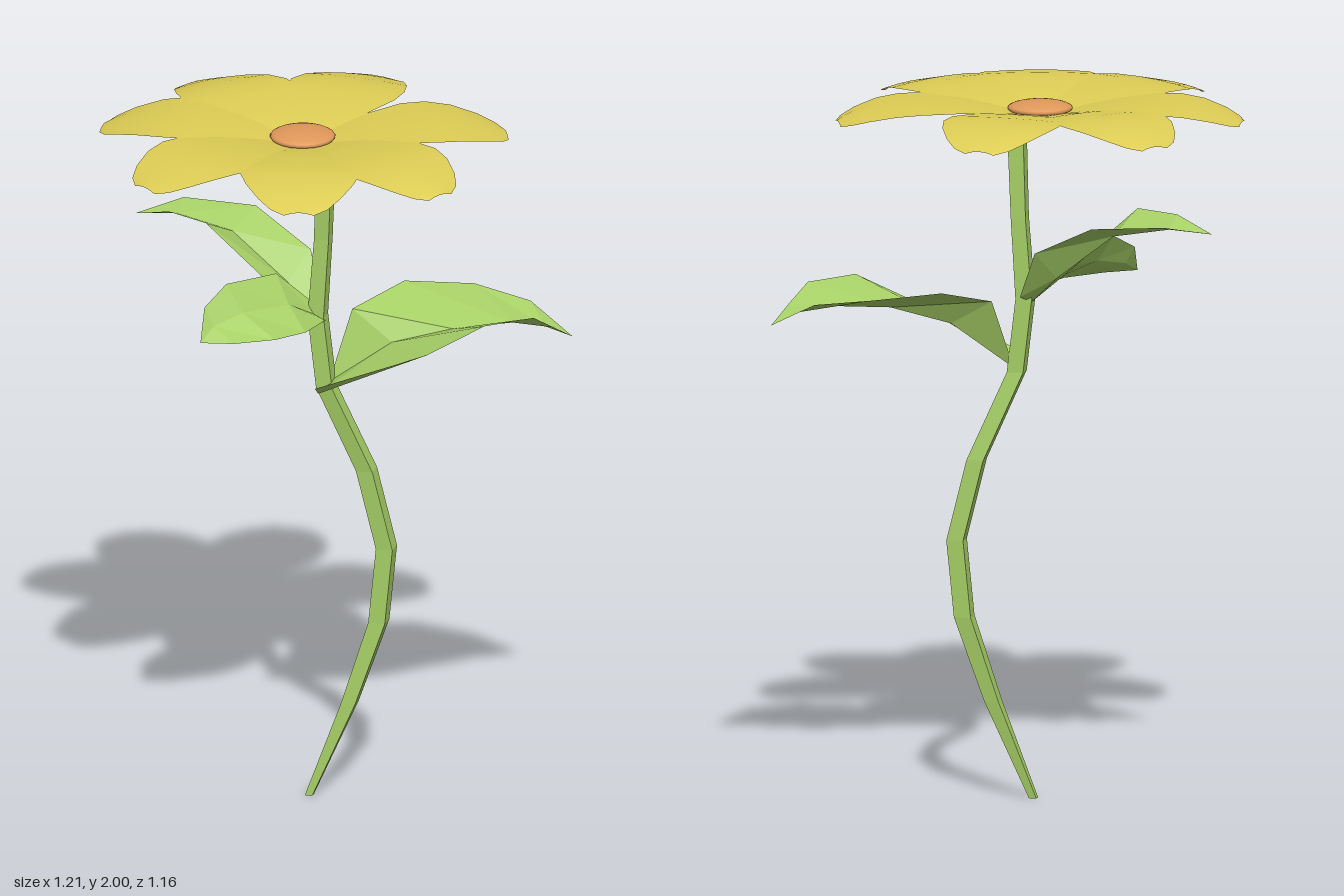
import * as THREE from 'three';

const paint = (color, flatShading) =>
  new THREE.MeshStandardMaterial({ color, flatShading, side: THREE.DoubleSide });

// Surface through rows of points, all rows having the same number of points
function loft(rows) {
  const n = rows[0].length, index = [];
  for (let i = 0; i < rows.length - 1; i++) {
    for (let j = 0; j < n - 1; j++) {
      const a = i * n + j, b = a + n;
      index.push(a, a + 1, b, a + 1, b + 1, b);
    }
  }
  const geo = new THREE.BufferGeometry();
  geo.setAttribute('position', new THREE.Float32BufferAttribute(rows.flat(2), 3));
  geo.setIndex(index);
  geo.computeVertexNormals();
  return geo;
}

// Petal along +x: dished at the heart, arched over, drooping at the tip
function petalGeometry() {
  const outline = [[0.05, 0.04], [0.13, 0.085], [0.2, 0.12], [0.3, 0.163], [0.37, 0.168],
    [0.44, 0.15], [0.51, 0.115], [0.555, 0.08], [0.577, 0.042]];
  const rows = outline.map(([r, w]) => {
    const y = r < 0.36 ? 1.998 - 0.042 * ((0.36 - r) / 0.31) ** 2
      : 1.998 - 0.046 * ((r - 0.36) / 0.217) ** 2;
    return [1, 0.5, 0, -0.5, -1].map(t => [r, y - 0.008 * t * t * (r / 0.577), t * w]);
  });
  return loft(rows);
}

// Square stem following a bent path of [x, y, z, radius]
function stemGeometry() {
  const path = [[-0.01, 0, 0.005, 0.015], [0.08, 0.28, 0.075, 0.029], [0.145, 0.52, 0.122, 0.034],
    [0.162, 0.74, 0.135, 0.034], [0.122, 0.97, 0.095, 0.034], [0.03, 1.22, 0.03, 0.033],
    [0.015, 1.43, 0.01, 0.033], [0.027, 1.66, 0.02, 0.03], [0.028, 1.88, 0.03, 0.032],
    [-0.01, 1.965, 0.01, 0.034]];
  const rows = path.map(([x, y, z, r]) => [0, 1, 2, 3, 4].map(k => {
    const a = -k * Math.PI / 2 + 0.12;
    return [x + r * Math.cos(a), y, z + r * Math.sin(a)];
  }));
  rows.unshift(Array(5).fill(path[0].slice(0, 3)));
  return loft(rows);
}

// Leaves: each row is edge, midrib, edge; the last row closes at the tip
const leaves = {
  frontLeaf: [
    [[-0.06, 1.25, 0.1], [-0.02, 1.215, 0.06], [0.04, 1.23, 0.03]],
    [[0.14, 1.385, 0.36], [0.17, 1.355, 0.15], [0.12, 1.43, 0.03]],
    [[0.28, 1.465, 0.44], [0.3, 1.4, 0.26], [0.3, 1.475, 0.03]],
    [[0.44, 1.46, 0.455], [0.45, 1.41, 0.34], [0.47, 1.46, 0.13]],
    [[0.52, 1.41, 0.44], [0.53, 1.395, 0.385], [0.555, 1.435, 0.28]],
    [[0.6, 1.36, 0.42], [0.6, 1.36, 0.42], [0.6, 1.36, 0.42]]],
  sideLeaf: [
    [[0, 1.47, 0], [0, 1.435, 0.02], [0.02, 1.42, 0.04]],
    [[-0.1, 1.565, -0.03], [-0.1, 1.49, 0.03], [-0.1, 1.43, 0.11]],
    [[-0.28, 1.575, -0.02], [-0.26, 1.5, 0.03], [-0.22, 1.44, 0.13]],
    [[-0.37, 1.53, 0], [-0.36, 1.48, 0.03], [-0.34, 1.445, 0.1]],
    [[-0.42, 1.45, 0.05], [-0.42, 1.45, 0.05], [-0.42, 1.45, 0.05]]],
  backLeaf: [
    [[-0.02, 1.44, 0], [0.01, 1.42, -0.01], [0.05, 1.44, -0.01]],
    [[-0.09, 1.52, -0.08], [-0.01, 1.5, -0.1], [0.07, 1.58, -0.1]],
    [[-0.22, 1.69, -0.2], [-0.1, 1.63, -0.24], [0.01, 1.67, -0.28]],
    [[-0.25, 1.69, -0.34], [-0.19, 1.66, -0.38], [-0.13, 1.68, -0.43]],
    [[-0.27, 1.65, -0.47], [-0.27, 1.65, -0.47], [-0.27, 1.65, -0.47]]],
};

export function createModel() {
  const model = new THREE.Group();
  const green = paint(0xa6cf66, true), yellow = paint(0xddcd55, false);
  const add = (parent, name, geo, mat) => {
    const mesh = new THREE.Mesh(geo, mat);
    mesh.name = name;
    parent.add(mesh);
    return mesh;
  };

  add(model, 'stem', stemGeometry(), green);
  for (const [name, rows] of Object.entries(leaves)) add(model, name, loft(rows), green);

  // Flower head: seven slightly uneven petals around a low domed centre
  const flower = new THREE.Group();
  flower.name = 'flowerHead';
  flower.position.x = -0.03;
  model.add(flower);
  const petal = petalGeometry();
  for (const degrees of [-85, -34, 28, 84, 127, 176, 230]) {
    add(flower, 'petal', petal, yellow).rotation.y = -THREE.MathUtils.degToRad(degrees);
  }
  const heart = add(flower, 'flowerCentre', new THREE.SphereGeometry(0.092, 24, 12), paint(0xe0985a, false));
  heart.scale.y = 0.22;
  heart.position.y = 1.97;
  return model;
}
